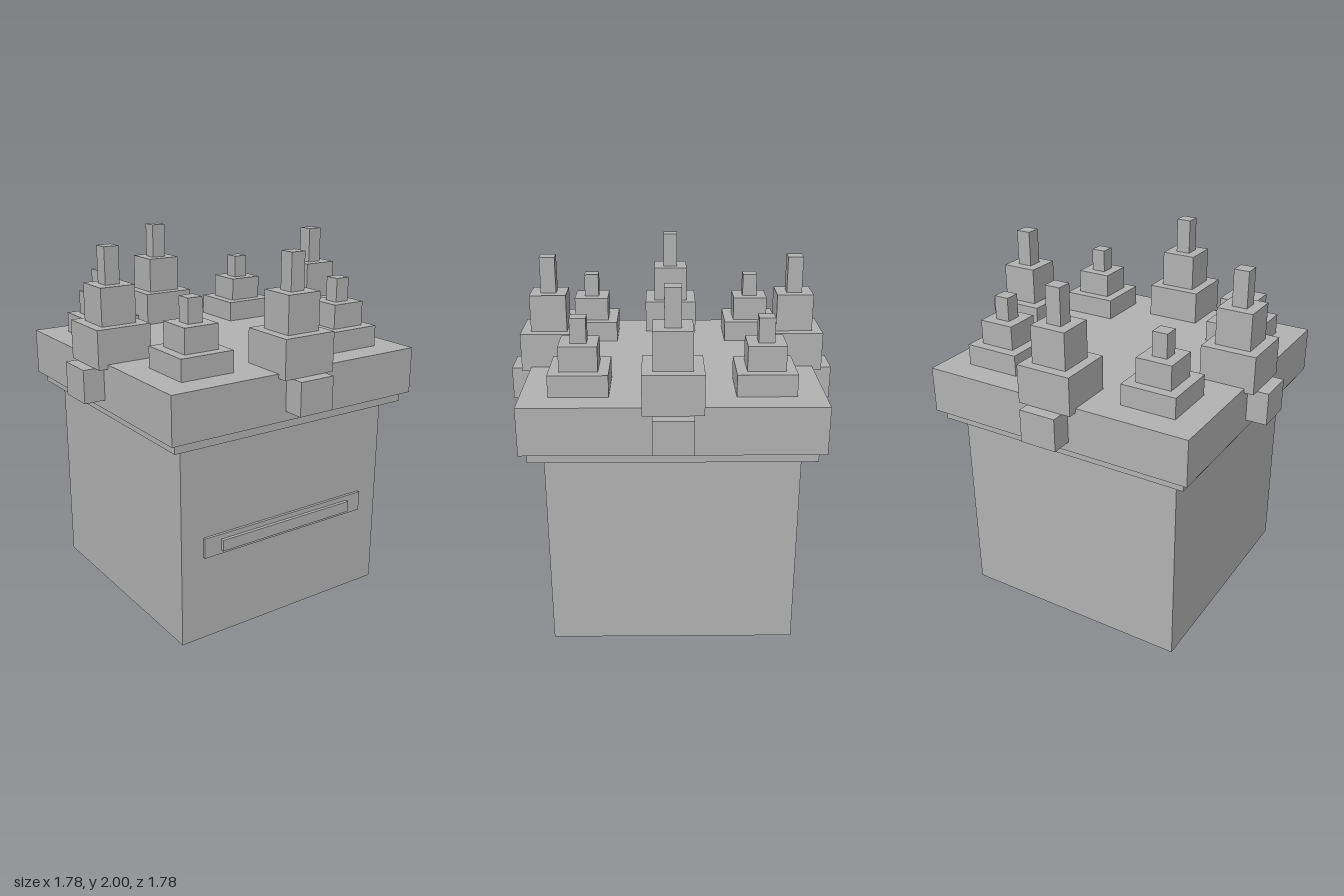
import * as THREE from 'three';

export function createModel() {
  const model = new THREE.Group();
  model.name = 'castleTower';
  const stone = new THREE.MeshStandardMaterial({ color: 0xb2b2b2 });
  stone.name = 'stone grey';

  // Box centred on (x, z), reaching from height y0 to y1
  function block(parent, name, width, depth, y0, y1, x = 0, z = 0) {
    const mesh = new THREE.Mesh(new THREE.BoxGeometry(width, y1 - y0, depth), stone);
    mesh.name = name;
    mesh.position.set(x, (y0 + y1) / 2, z);
    parent.add(mesh);
  }

  // Three stacked square tiers; heights lists their boundaries from the bottom up
  const tiers = [['turretBase', 0.306], ['turretMiddle', 0.197], ['turretTop', 0.083]];
  function turret(name, x, z, heights) {
    const group = new THREE.Group();
    group.name = name;
    group.position.set(x, 0, z);
    tiers.forEach(([tier, w], i) => block(group, tier, w, w, heights[i], heights[i + 1]));
    model.add(group);
    return group;
  }

  // Main walls and the widening top
  block(model, 'body', 1.32, 1.32, 0, 1.11);
  block(model, 'ledge', 1.47, 1.47, 1.11, 1.165);
  block(model, 'parapet', 1.544, 1.544, 1.165, 1.42);

  // Raised slot on the front wall
  block(model, 'slotFrame', 1.056, 0.035, 0.473, 0.584, 0, 0.6575);
  block(model, 'slotPanel', 0.854, 0.055, 0.494, 0.556, 0, 0.666);

  // Tall turrets at the middle of each side, each with a corbel on its outer face
  for (let i = 0; i < 4; i++) {
    const dx = Math.round(Math.sin(i * Math.PI / 2));
    const dz = Math.round(Math.cos(i * Math.PI / 2));
    const group = turret('sideTurret', dx * 0.671, dz * 0.671, [1.397, 1.605, 1.805, 2]);
    block(group, 'corbel', 0.206, 0.206, 1.217, 1.397, dx * 0.114, dz * 0.114);
  }

  // Shorter turrets toward the corners
  for (const sx of [-1, 1]) {
    for (const sz of [-1, 1]) {
      turret('cornerTurret', sx * 0.474, sz * 0.474, [1.42, 1.535, 1.667, 1.796]);
    }
  }

  return model;
}
